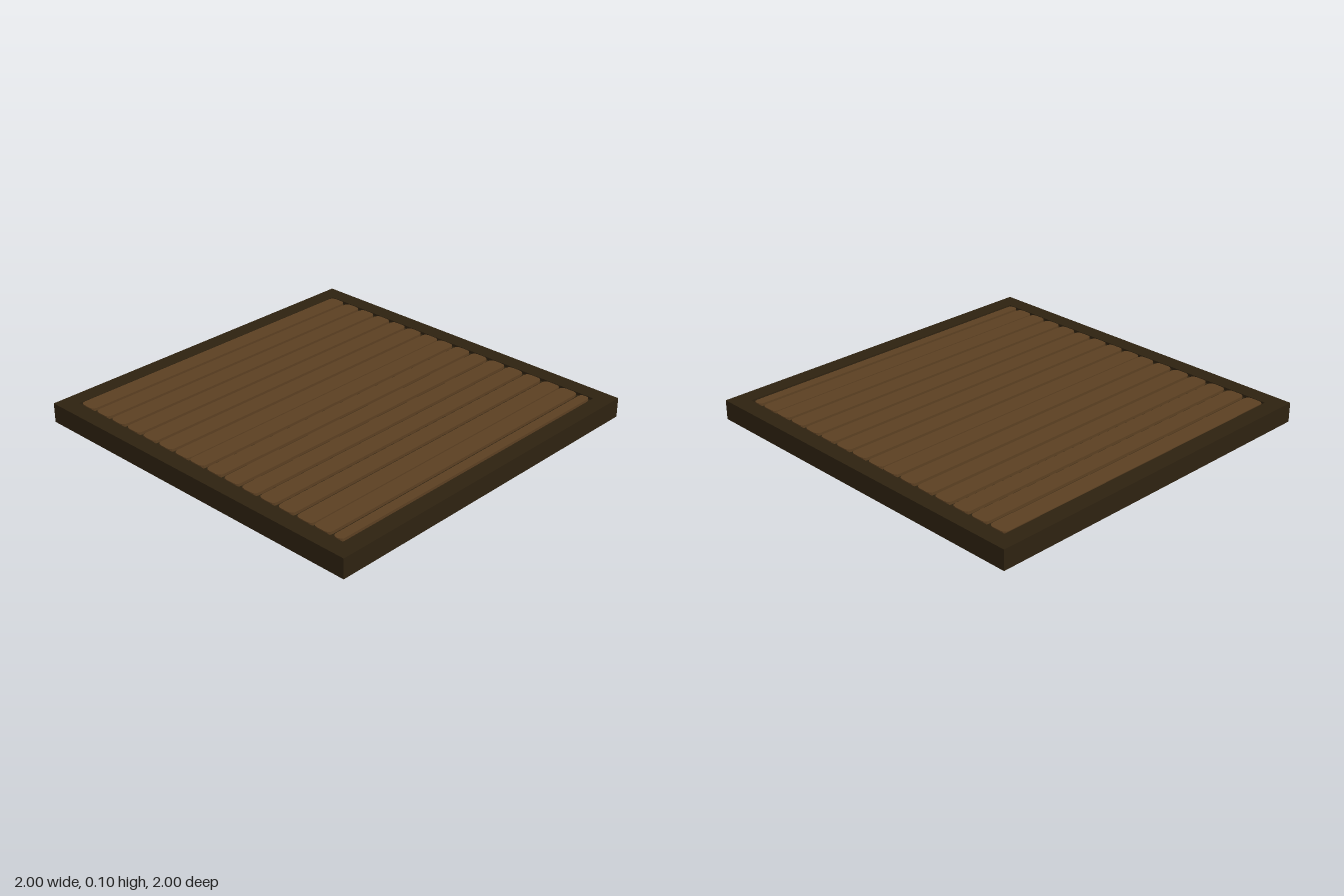
import * as THREE from 'three';

const HEIGHT = 0.105;
const FLOOR = 0.09;
const INNER = 0.91;

// Slat outline with rounded corners, extruded upwards
function slatGeometry(width, length, depth) {
  const x = width / 2, z = length / 2, r = Math.min(0.028, x * 0.9);
  const s = new THREE.Shape();
  s.moveTo(-x + r, -z);
  s.lineTo(x - r, -z);
  s.quadraticCurveTo(x, -z, x, -z + r);
  s.lineTo(x, z - r);
  s.quadraticCurveTo(x, z, x - r, z);
  s.lineTo(-x + r, z);
  s.quadraticCurveTo(-x, z, -x, z - r);
  s.lineTo(-x, -z + r);
  s.quadraticCurveTo(-x, -z, -x + r, -z);
  const g = new THREE.ExtrudeGeometry(s, { depth, bevelEnabled: false, curveSegments: 3 });
  return g.rotateX(-Math.PI / 2);
}

export function createModel() {
  const model = new THREE.Group();
  const darkWood = new THREE.MeshStandardMaterial({ color: 0x2e2210 });
  darkWood.name = 'darkWood';
  const slatWood = new THREE.MeshStandardMaterial({ color: 0x5c4022 });
  slatWood.name = 'slatWood';

  const add = (name, geometry, material, x, y, z) => {
    const mesh = new THREE.Mesh(geometry, material);
    mesh.name = name;
    mesh.position.set(x, y, z);
    model.add(mesh);
  };

  // Base panel under the slats
  add('basePanel', new THREE.BoxGeometry(2, FLOOR, 2), darkWood, 0, FLOOR / 2, 0);

  // Raised border around the slats
  const rim = new THREE.Shape();
  rim.moveTo(-1, -1).lineTo(1, -1).lineTo(1, 1).lineTo(-1, 1).closePath();
  const hole = new THREE.Path();
  hole.moveTo(-INNER, -INNER).lineTo(-INNER, INNER).lineTo(INNER, INNER).lineTo(INNER, -INNER).closePath();
  rim.holes.push(hole);
  const rimGeometry = new THREE.ExtrudeGeometry(rim, { depth: HEIGHT - FLOOR, bevelEnabled: false });
  add('rim', rimGeometry.rotateX(-Math.PI / 2), darkWood, 0, FLOOR, 0);

  // Sixteen slats; every seventh gap is tight and the last slat is narrow
  let left = -0.905;
  for (let i = 0; i < 16; i++) {
    const width = i === 15 ? 0.054 : 0.098;
    add('slat' + (i + 1), slatGeometry(width, 1.81, HEIGHT - FLOOR), slatWood, left + width / 2, FLOOR, 0);
    left += width + (i % 7 === 6 ? 0.008 : 0.02);
  }
  return model;
}
